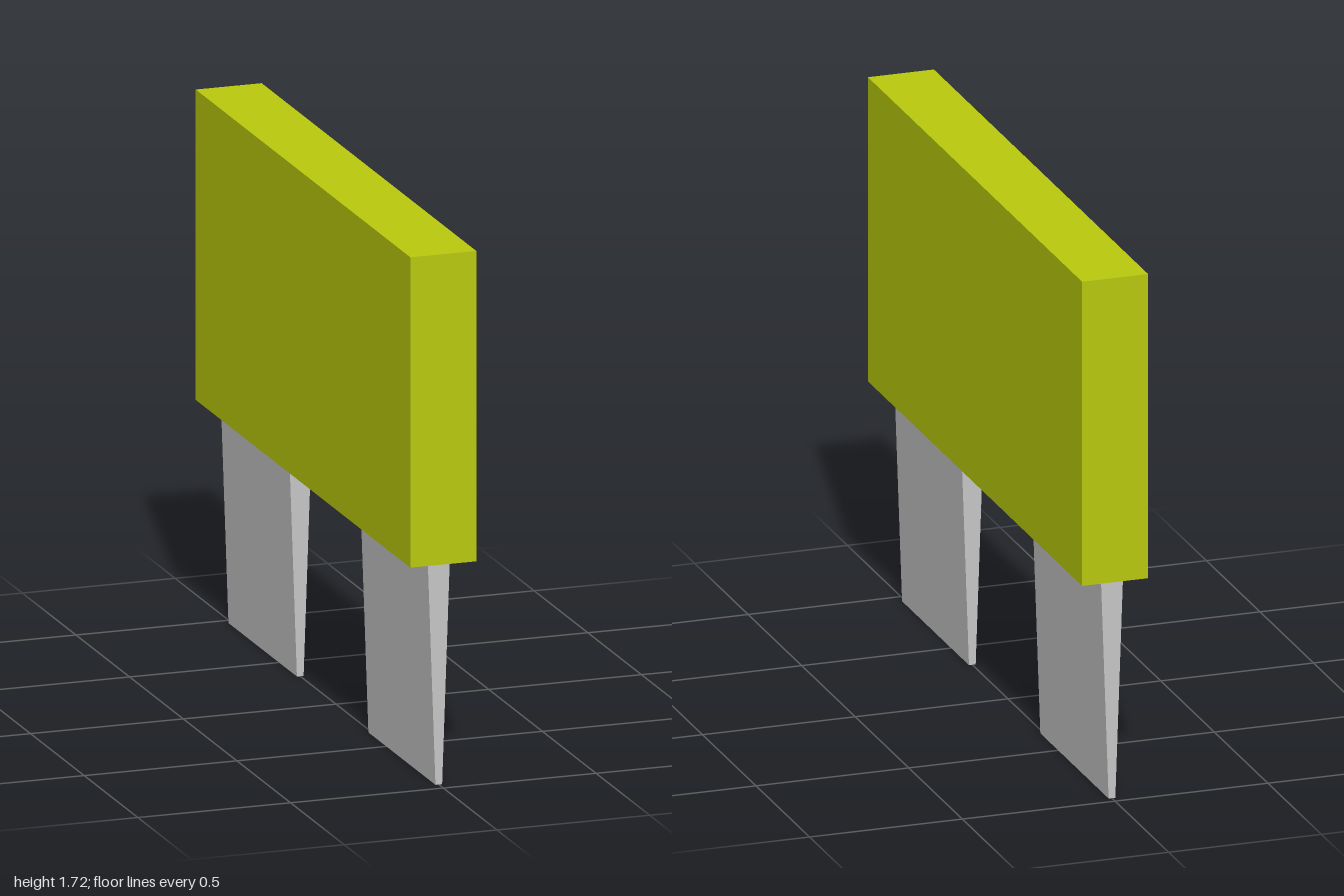
import * as THREE from 'three';

export function createModel() {
  const model = new THREE.Group();
  const yellow = new THREE.MeshStandardMaterial({ color: 0xb9c90d });
  const metal = new THREE.MeshStandardMaterial({ color: 0xc6c6c6 });

  // Plastic housing
  const bottom = 0.718, top = 1.715;
  const housing = new THREE.Mesh(new THREE.BoxGeometry(0.216, top - bottom, 2), yellow);
  housing.name = 'housing';
  housing.position.y = (top + bottom) / 2;
  model.add(housing);

  // Flat prongs, tapering in thickness towards the tip
  const profile = new THREE.Shape([
    new THREE.Vector2(-0.011, 0),
    new THREE.Vector2(0.011, 0),
    new THREE.Vector2(0.036, bottom),
    new THREE.Vector2(-0.036, bottom),
  ]);
  const addProng = (name, zMin, zMax) => {
    const geometry = new THREE.ExtrudeGeometry(profile, { depth: zMax - zMin, bevelEnabled: false });
    const prong = new THREE.Mesh(geometry, metal);
    prong.name = name;
    prong.position.z = zMin;
    model.add(prong);
  };
  addProng('frontProng', 0.333, 0.958);
  addProng('backProng', -0.971, -0.333);

  return model;
}
